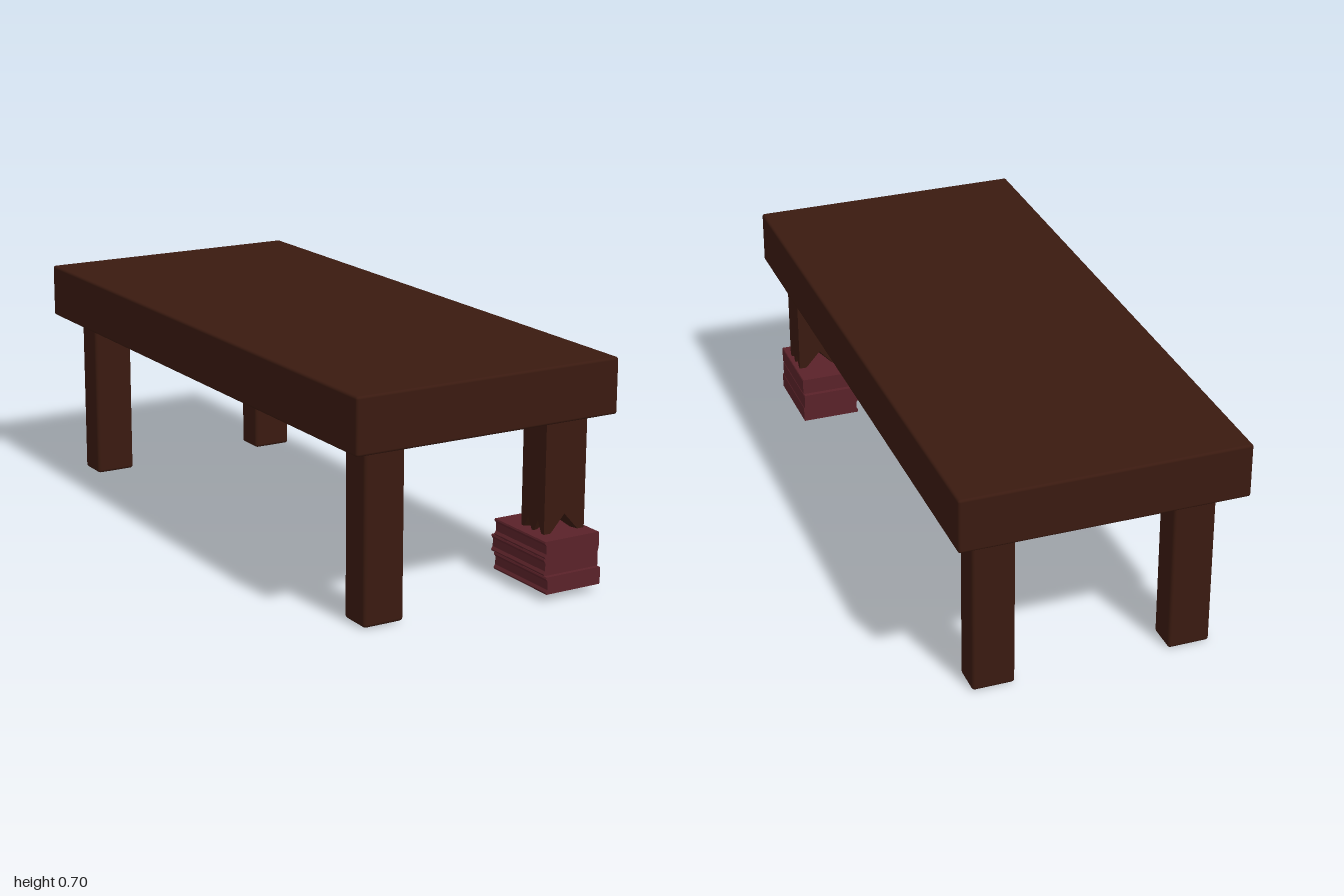
import * as THREE from 'three';
import { RoundedBoxGeometry } from 'three/addons/geometries/RoundedBoxGeometry.js';

const wood = new THREE.MeshStandardMaterial({ color: 0x3a1a10 });
const brokenWood = new THREE.MeshStandardMaterial({ color: 0x3a1a10, flatShading: true, side: THREE.DoubleSide });
const cover = new THREE.MeshStandardMaterial({ color: 0x5a2229, flatShading: true });

// Softly rounded block given by its limits on each axis
function block(name, [x0, x1], [y0, y1], [z0, z1], radius) {
  const geometry = new RoundedBoxGeometry(x1 - x0, y1 - y0, z1 - z0, 2, radius);
  const mesh = new THREE.Mesh(geometry, wood);
  mesh.name = name;
  mesh.position.set((x0 + x1) / 2, (y0 + y1) / 2, (z0 + z1) / 2);
  return mesh;
}

// Leg snapped off near the floor: a square tube with a jagged lower rim
function brokenLeg() {
  const [x0, x1, z0, z1, top, tip] = [0.236, 0.38, 0.82, 0.934, 0.56, 0.155];
  const xm = (x0 + x1) / 2;
  const side = [[z1, tip], [0.902, 0.217], [0.878, 0.17], [0.854, 0.217], [z0, tip]];
  const rim = [
    [x0, tip, z1], [xm, 0.235, z1],
    ...side.map(([z, y]) => [x1, y, z]),
    [xm, 0.235, z0],
    ...side.slice().reverse().slice(0, 4).map(([z, y]) => [x0, y, z]),
  ];
  const centre = [xm, 0.215, (z0 + z1) / 2];
  const positions = [];
  rim.forEach((a, i) => {
    const b = rim[(i + 1) % rim.length];
    const aTop = [a[0], top, a[2]];
    const bTop = [b[0], top, b[2]];
    positions.push(...a, ...b, ...bTop, ...a, ...bTop, ...aTop); // wall
    positions.push(...b, ...a, ...centre); // splintered end
  });
  const geometry = new THREE.BufferGeometry();
  geometry.setAttribute('position', new THREE.Float32BufferAttribute(positions, 3));
  geometry.computeVertexNormals();
  const mesh = new THREE.Mesh(geometry, brokenWood);
  mesh.name = 'brokenLeg';
  return mesh;
}

// Closed book with a grooved spine on its -x side
function book(name, y, height, z0, z1, shift) {
  const x0 = 0.2 + shift, x1 = 0.395 + shift;
  const shape = new THREE.Shape();
  shape.moveTo(x0 + 0.003, y);
  shape.lineTo(x1 - 0.002, y);
  shape.lineTo(x1, y + 0.003);
  shape.lineTo(x1, y + height - 0.003);
  shape.lineTo(x1 - 0.002, y + height);
  shape.lineTo(x0 + 0.002, y + height);
  shape.lineTo(x0, y + height - 0.005);
  shape.lineTo(x0 + 0.006, y + height - 0.014);
  shape.lineTo(x0 + 0.006, y + 0.014);
  shape.lineTo(x0, y + 0.006);
  shape.closePath();
  const geometry = new THREE.ExtrudeGeometry(shape, { depth: z1 - z0, bevelEnabled: false });
  geometry.translate(0, 0, z0);
  const mesh = new THREE.Mesh(geometry, cover);
  mesh.name = name;
  return mesh;
}

export function createModel() {
  const group = new THREE.Group();
  group.name = 'proppedTable';

  group.add(block('tableTop', [-0.443, 0.443], [0.533, 0.704], [-1, 0.994], 0.008));

  // Three whole legs
  group.add(block('frontRightLeg', [-0.375, -0.243], [0.003, 0.56], [0.82, 0.928], 0.01));
  for (const side of [-1, 1]) {
    const x = side < 0 ? [-0.375, -0.243] : [0.243, 0.375];
    group.add(block(side < 0 ? 'backRightLeg' : 'backLeftLeg', x, [0, 0.56], [-0.92, -0.818], 0.01));
  }
  group.add(brokenLeg());

  // Stack of books standing in for the missing foot
  const books = new THREE.Group();
  books.name = 'bookStack';
  books.add(
    book('bottomBook', 0.022, 0.053, 0.733, 1, 0),
    book('middleBook', 0.075, 0.053, 0.718, 0.986, 0),
    book('topBook', 0.128, 0.053, 0.733, 0.99, 0),
  );
  group.add(books);
  return group;
}
